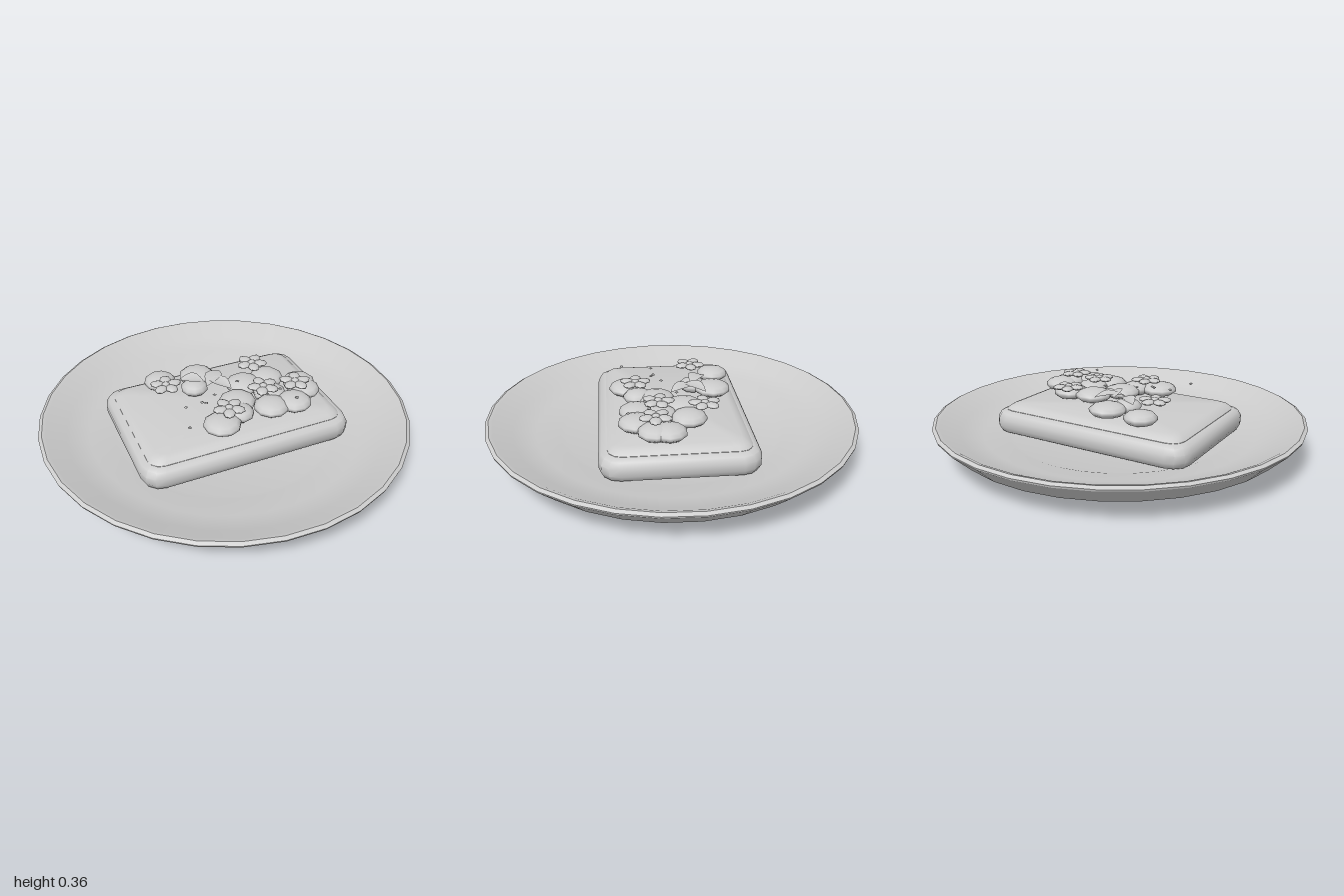
import * as THREE from 'three';
import { toCreasedNormals } from 'three/addons/utils/BufferGeometryUtils.js';

const clay = new THREE.MeshStandardMaterial({ color: 0xcccccc });
clay.name = 'plain grey';
const clayThin = clay.clone();
clayThin.side = THREE.DoubleSide;

function add(parent, name, geometry, x = 0, y = 0, z = 0, material = clay) {
  const mesh = new THREE.Mesh(geometry, material);
  mesh.name = name;
  mesh.position.set(x, y, z);
  parent.add(mesh);
  return mesh;
}

// Rounded rectangles stacked into a closed solid; level = [width, depth, radius, y]
function slab(levels, cornerSteps = 3) {
  const pos = [], index = [], n = 4 * (cornerSteps + 1);
  for (const [w, d, r, y] of levels) {
    for (let q = 0; q < 4; q++) {
      const sx = q === 0 || q === 3 ? 1 : -1, sz = q < 2 ? -1 : 1;
      for (let s = 0; s <= cornerSteps; s++) {
        const a = (q + s / cornerSteps) * Math.PI / 2;
        pos.push(sx * (w / 2 - r) + r * Math.cos(a), y, sz * (d / 2 - r) - r * Math.sin(a));
      }
    }
  }
  for (let i = 0; i < levels.length - 1; i++) {
    for (let j = 0; j < n; j++) {
      const a = i * n + j, b = i * n + (j + 1) % n;
      index.push(a, b, b + n, a, b + n, a + n);
    }
  }
  const g = new THREE.BufferGeometry();
  g.setAttribute('position', new THREE.Float32BufferAttribute(pos, 3));
  g.setIndex(index);
  return toCreasedNormals(g, 0.7);
}

// Pointed leaf, folded along its middle
function leafGeometry(length, width) {
  const g = new THREE.PlaneGeometry(length, width, 6, 2).rotateX(-Math.PI / 2);
  const p = g.attributes.position;
  for (let i = 0; i < p.count; i++) {
    const t = p.getX(i) / length + 0.5;
    const z = p.getZ(i) * Math.sin(Math.PI * t);
    p.setZ(i, z);
    p.setY(i, Math.abs(z) * 0.35 - 0.04 * (t - 0.5) ** 2);
  }
  g.computeVertexNormals();
  return g;
}

// Flat blossom with five petals and a button centre
function blossom(parent, x, z, turn) {
  const flower = new THREE.Group();
  flower.name = 'blossom';
  flower.position.set(x, 0.34, z);
  flower.rotation.y = turn;
  const petal = new THREE.SphereGeometry(1, 8, 5).scale(0.04, 0.013, 0.032);
  for (let i = 0; i < 5; i++) {
    const a = i * Math.PI * 2 / 5;
    add(flower, 'petal', petal, 0.047 * Math.cos(a), 0, -0.047 * Math.sin(a)).rotation.y = a;
  }
  add(flower, 'blossomCentre', new THREE.SphereGeometry(1, 8, 5).scale(0.022, 0.013, 0.022), 0, 0.004, 0);
  parent.add(flower);
}

export function createModel() {
  const model = new THREE.Group();
  model.name = 'dessertPlate';

  // Plate: foot, underside, rim, then the inner slope and well
  const profile = [
    [0, 0], [0.6, 0], [0.62, 0.045], [0.76, 0.065], [0.9, 0.09], [0.995, 0.18], [0.998, 0.19],
    [0.98, 0.2], [0.96, 0.195], [0.86, 0.14], [0.74, 0.11], [0.61, 0.093], [0.585, 0.085], [0, 0.085],
  ].map(([r, y]) => new THREE.Vector2(r, y));
  add(model, 'plate', toCreasedNormals(new THREE.LatheGeometry(profile, 32), 0.5));

  // Toast: crust with a raised top slab
  const toast = new THREE.Group();
  toast.name = 'toast';
  toast.rotation.y = 0.14;
  model.add(toast);
  add(toast, 'crust', slab([
    [0.01, 0.01, 0.004, 0.087], [1.06, 0.7, 0.08, 0.087], [1.13, 0.77, 0.09, 0.105], [1.16, 0.8, 0.1, 0.135],
    [1.16, 0.8, 0.1, 0.175], [1.13, 0.77, 0.09, 0.205], [1.08, 0.72, 0.08, 0.218], [0.01, 0.01, 0.004, 0.218],
  ]));
  add(toast, 'toastTop', slab([
    [1.07, 0.71, 0.07, 0.2], [1.07, 0.71, 0.07, 0.22], [1.03, 0.67, 0.06, 0.238],
    [0.97, 0.61, 0.05, 0.25], [0.01, 0.01, 0.004, 0.25],
  ]));

  // Berries: x, z, radius
  const berries = [
    [-0.31, -0.22, 0.088], [-0.1, -0.22, 0.1], [-0.14, -0.11, 0.075], [0.13, -0.07, 0.1],
    [0.27, -0.1, 0.095], [0.05, 0.08, 0.1], [0.03, 0.18, 0.08], [-0.08, 0.25, 0.1],
    [0.21, 0.17, 0.095], [0.34, 0.16, 0.095], [0.43, -0.01, 0.09], [0.43, 0.06, 0.09], [0.24, 0.05, 0.09],
  ];
  berries.forEach(([x, z, r], i) => {
    const berry = add(model, 'berry', new THREE.SphereGeometry(r, 10, 7), x, 0.284, z);
    berry.scale.y = 0.038 / r;
    berry.rotation.y = i * 0.7;
  });

  // Blossoms: x, z, turn
  [[-0.3, -0.09, 0.2], [0.21, -0.18, 0.9], [0.2, 0.06, 0.5], [0.38, 0.06, 1.3], [-0.03, 0.2, 0.7]]
    .forEach(([x, z, turn]) => blossom(model, x, z, turn));

  // Leaves: x, z, length, turn
  [[-0.15, -0.13, 0.14, -0.4], [-0.03, -0.12, 0.17, 0.9], [-0.01, -0.06, 0.16, -0.9]]
    .forEach(([x, z, length, turn]) => {
      add(model, 'leaf', leafGeometry(length, 0.09), x, 0.325, z, clayThin).rotation.y = turn;
    });

  // Crumbs scattered over the topping
  const crumb = new THREE.OctahedronGeometry(0.012).scale(1, 0.6, 1);
  [[-0.24, 0.13], [-0.15, 0.11], [-0.13, 0.12], [-0.07, 0.06], [-0.26, 0.3], [0.08, -0.03],
    [0.2, 0.13], [0.28, 0.1], [0.34, 0.2], [0.19, 0.11]]
    .forEach(([x, z], i) => { add(model, 'crumb', crumb, x, 0.335, z).rotation.y = i; });

  return model;
}
